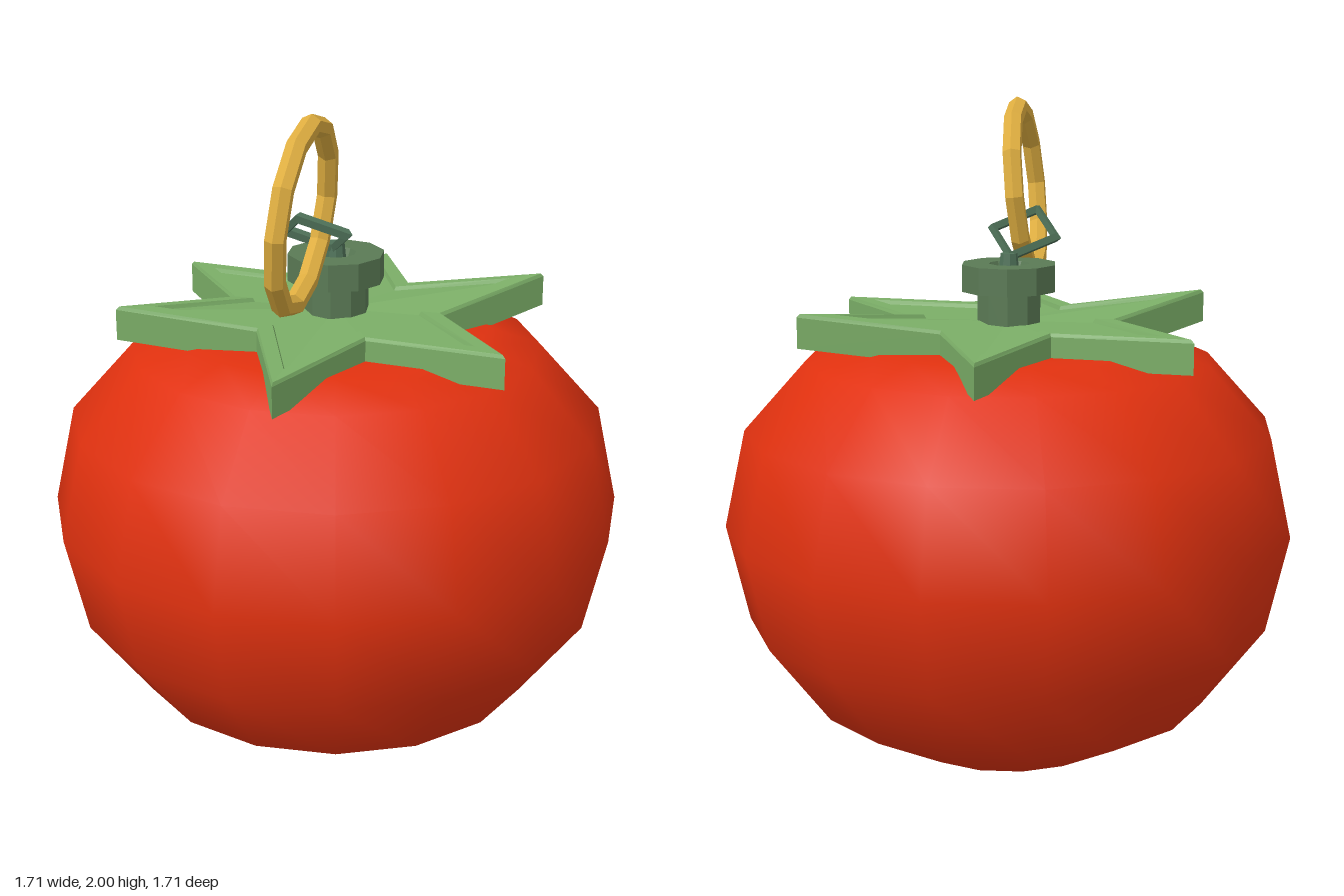
import * as THREE from 'three';

const paint = (name, color) => Object.assign(new THREE.MeshStandardMaterial({ color }), { name });

// Faceted copy of a geometry
function faceted(geometry) {
  const g = geometry.index ? geometry.toNonIndexed() : geometry;
  g.computeVertexNormals();
  return g;
}

function lathe(profile, sides) {
  return new THREE.LatheGeometry(profile.map(([r, y]) => new THREE.Vector2(r, y)), sides);
}

// Six-pointed leaf star lofted through rings of [tip radius, notch radius, height]
function starGeometry() {
  const rings = [
    [0, 0, 1.27], [0.65, 0.318, 1.27], [0.65, 0.318, 1.36], [0.64, 0.312, 1.37],
    [0.54, 0.257, 1.37], [0.527, 0.25, 1.358], [0, 0, 1.358],
  ];
  const lift = [0, -0.02, 0.047, 0, -0.02, 0.047]; // uneven bend of the tips
  const point = ([tip, notch, y], k) => {
    const isTip = k % 2 === 0;
    const r = isTip ? tip : notch;
    const a = (k * Math.PI) / 6;
    const bend = isTip ? lift[(k / 2) % 6] * (tip / 0.65) : 0;
    return [r * Math.cos(a), y + bend, r * Math.sin(a)];
  };
  const pos = [];
  for (let i = 0; i < rings.length - 1; i++) {
    for (let k = 0; k < 12; k++) {
      const p0 = point(rings[i], k), p1 = point(rings[i], k + 1);
      const q0 = point(rings[i + 1], k), q1 = point(rings[i + 1], k + 1);
      if (i > 0) pos.push(...p0, ...q0, ...p1);
      if (i < rings.length - 2) pos.push(...p1, ...q0, ...q1);
      else continue;
    }
  }
  const g = new THREE.BufferGeometry();
  g.setAttribute('position', new THREE.Float32BufferAttribute(pos, 3));
  return faceted(g);
}

// Orient a mesh by its local x direction and its normal
function orient(mesh, xDir, normal) {
  const z = new THREE.Vector3(...normal).normalize();
  const x = new THREE.Vector3(...xDir);
  x.addScaledVector(z, -x.dot(z)).normalize();
  const y = new THREE.Vector3().crossVectors(z, x);
  mesh.quaternion.setFromRotationMatrix(new THREE.Matrix4().makeBasis(x, y, z));
}

export function createModel() {
  const group = new THREE.Group();
  const red = paint('tomatoRed', 0xe0310f);
  const leafGreen = paint('leafGreen', 0x7bae67);
  const stemGreen = paint('stemGreen', 0x5a7a55);
  const linkGreen = paint('linkGreen', 0x4f7259);
  const gold = paint('gold', 0xdfae40);

  const add = (name, geometry, material) => {
    const mesh = new THREE.Mesh(geometry, material);
    mesh.name = name;
    group.add(mesh);
    return mesh;
  };

  // Rounded fruit with a flattened top
  add('fruitBody', lathe([
    [0, 0.005], [0.327, 0.06], [0.605, 0.212], [0.79, 0.46], [0.855, 0.752],
    [0.79, 1.045], [0.605, 1.25], [0.45, 1.3], [0.3, 1.3], [0, 1.29],
  ], 16), red);

  add('leafStar', starGeometry(), leafGreen);

  // Stem with a wider cap and a small socket
  add('stem', faceted(lathe([
    [0.097, 1.3], [0.097, 1.45], [0.143, 1.45], [0.143, 1.53],
    [0.06, 1.53], [0.048, 1.5], [0, 1.5],
  ], 10)), stemGreen);

  const peg = add('peg', faceted(new THREE.CylinderGeometry(0.025, 0.032, 0.07, 8)), linkGreen);
  peg.position.y = 1.525;

  // Square link joining the stem to the ring
  const link = add('squareLink', faceted(new THREE.TorusGeometry(0.105, 0.017, 4, 4)), linkGreen);
  link.position.set(0.017, 1.61, 0.095);
  const along = new THREE.Vector3(0.03, 0.14, 0.19);
  const across = new THREE.Vector3(0.23, 0.02, -0.05);
  orient(link, along.toArray(), along.clone().cross(across).toArray());

  // Twelve-sided key ring
  const ring = add('keyRing', faceted(new THREE.TorusGeometry(0.254, 0.03, 6, 12)), gold);
  ring.position.set(0.157, 1.718, 0.285);
  orient(ring, [0.5, 0, 0.866], [0.866, -0.1, -0.5]);

  return group;
}
